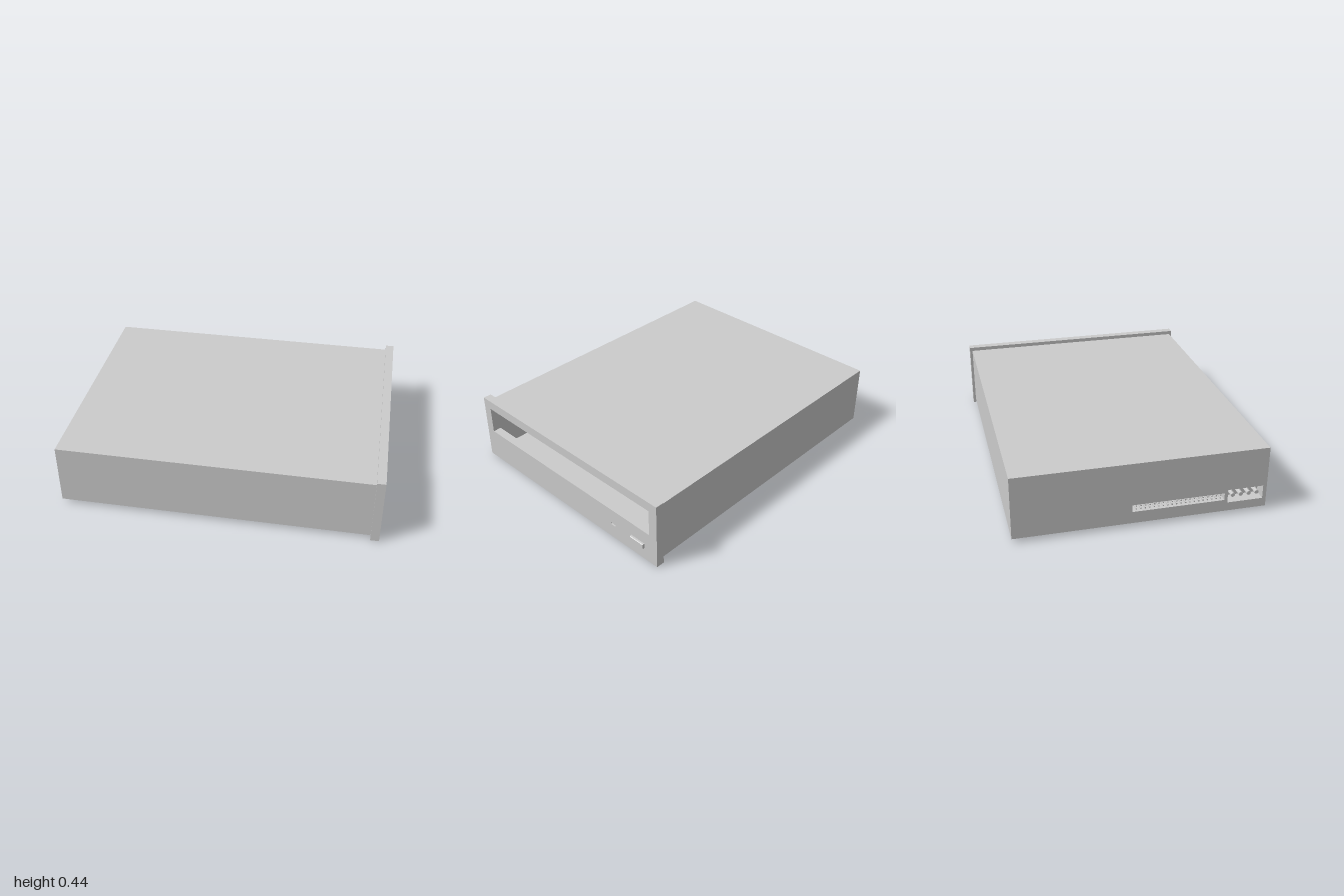
import * as THREE from 'three';

const material = new THREE.MeshStandardMaterial({ color: 0xcccccc, flatShading: true, side: THREE.DoubleSide });

// Adds a named mesh to a group
function add(group, name, geometry, x = 0, y = 0, z = 0) {
  const mesh = new THREE.Mesh(geometry, material);
  mesh.name = name;
  mesh.position.set(x, y, z);
  group.add(mesh);
  return mesh;
}

// Box lacking some faces (0 = +x, 1 = -x, 2 = +y, 3 = -y, 4 = +z, 5 = -z)
function openBox(w, h, d, skip) {
  const g = new THREE.BoxGeometry(w, h, d);
  const index = Array.from(g.index.array).filter((_, i) => !skip.includes(Math.floor(i / 6)));
  g.clearGroups();
  g.setIndex(index);
  return g;
}

// Rectangular outline from two corners
function rect(u0, v0, u1, v1, Type = THREE.Shape) {
  const s = new Type();
  s.moveTo(u0, v0);
  s.lineTo(u1, v0);
  s.lineTo(u1, v1);
  s.lineTo(u0, v1);
  s.closePath();
  return s;
}

export function createModel() {
  const model = new THREE.Group();
  model.name = 'discDrive';
  const back = -1, bezelBack = 0.932, bezelFront = 0.985;
  const y0 = 0.025, y1 = 0.416, halfZ = 0.763;

  // Hollow sheet-metal case, closed in front by the bezel
  add(model, 'caseShell', openBox(bezelBack - back, y1 - y0, halfZ * 2, [0, 1]),
    (back + bezelBack) / 2, (y0 + y1) / 2, 0);

  // Rear panel with connector cut-outs: [name, z0, z1, y0, y1]
  const sockets = [
    ['dataSocket', -0.06, 0.5, 0.1, 0.145],
    ['powerSocket', 0.52, 0.74, 0.08, 0.165],
  ];
  const panel = rect(-halfZ, y0, halfZ, y1);
  for (const [, a, b, c, d] of sockets) panel.holes.push(rect(a, c, b, d, THREE.Path));
  add(model, 'rearPanel', new THREE.ShapeGeometry(panel).rotateY(-Math.PI / 2), back);

  // Recessed sockets
  const depth = 0.08;
  for (const [name, a, b, c, d] of sockets) {
    add(model, name, openBox(depth, d - c, b - a, [1]), back + depth / 2, (c + d) / 2, (a + b) / 2);
  }

  // Two rows of data pins and four power pins
  const pins = new THREE.Group();
  pins.name = 'connectorPins';
  model.add(pins);
  const dataPin = new THREE.BoxGeometry(0.07, 0.008, 0.008);
  for (let i = 0; i < 20; i++) {
    for (const y of [0.113, 0.132]) add(pins, 'dataPin', dataPin, back + 0.042, y, -0.035 + i * 0.027);
  }
  const powerPin = new THREE.CylinderGeometry(0.013, 0.013, 0.07, 8).rotateZ(Math.PI / 2);
  for (let i = 0; i < 4; i++) add(pins, 'powerPin', powerPin, back + 0.042, 0.122, 0.555 + i * 0.05);

  // Front bezel with tray opening and indicator cut-out
  const face = rect(-0.78, 0, 0.78, 0.44);
  face.holes.push(rect(-0.72, 0.205, 0.72, 0.38, THREE.Path));
  face.holes.push(rect(0.4, 0.092, 0.44, 0.105, THREE.Path));
  add(model, 'bezel', new THREE.ExtrudeGeometry(face, { depth: bezelFront - bezelBack, bevelEnabled: false })
    .rotateY(Math.PI / 2), bezelBack);

  // Indicator light set into the bezel
  add(model, 'indicatorLight', new THREE.BoxGeometry(0.035, 0.013, 0.04), 0.956, 0.0985, -0.42);

  // Eject button with slightly bevelled edges
  const button = rect(-0.05, -0.012, 0.05, 0.012);
  add(model, 'ejectButton', new THREE.ExtrudeGeometry(button, {
    depth: 0.02, bevelEnabled: true, bevelSize: 0.004, bevelThickness: 0.004, bevelSegments: 1,
  }).rotateY(Math.PI / 2), 0.976, 0.1, -0.627);

  return model;
}
